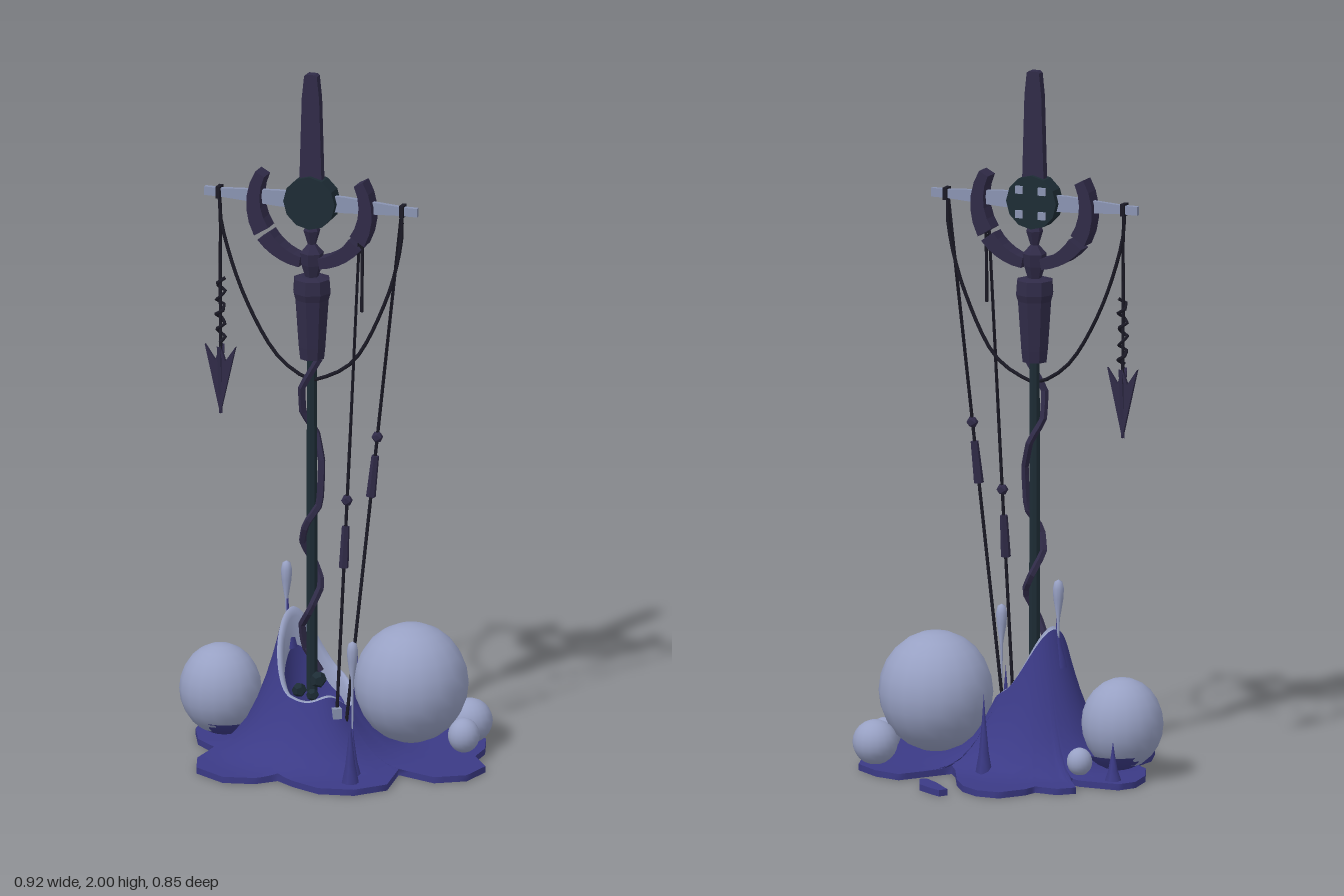
import * as THREE from 'three';

const mat = (name, color, extra = {}) => {
  const m = new THREE.MeshStandardMaterial({ color, ...extra });
  m.name = name;
  return m;
};
const V = (x, y, z) => new THREE.Vector3(x, y, z);

export function createModel() {
  const flat = { flatShading: true };
  const slime = mat('indigo slime', 0x3b3a86, { side: THREE.DoubleSide });
  const pale = mat('pale bubble', 0x98a1c4);
  const foam = mat('pale foam', 0x98a1c4, { side: THREE.DoubleSide });
  const purple = mat('dark purple metal', 0x302b48, flat);
  const teal = mat('dark teal wood', 0x1d2c35, flat);
  const cord = mat('black cord', 0x1b1a26);
  const steel = mat('grey blue bar', 0x8a94b2, flat);

  const root = new THREE.Group();
  const staff = new THREE.Group();
  staff.name = 'staff';
  staff.position.set(-0.06, 0, 0.06);
  root.add(staff);

  const add = (parent, name, geo, material, x = 0, y = 0, z = 0) => {
    const m = new THREE.Mesh(geo, material);
    m.name = name;
    m.position.set(x, y, z);
    parent.add(m);
    return m;
  };
  const tube = (parent, name, pts, r, material, seg = 24, sides = 6, tension = 0.5) =>
    add(parent, name, new THREE.TubeGeometry(
      new THREE.CatmullRomCurve3(pts, false, 'catmullrom', tension), seg, r, sides), material);
  const plate = (pts, depth) => {
    const g = new THREE.ExtrudeGeometry(new THREE.Shape(pts.map(p => new THREE.Vector2(...p))),
      { depth, bevelEnabled: false });
    return g.translate(0, 0, -depth / 2);
  };
  const lathe = (pts, n) => new THREE.LatheGeometry(pts.map(p => new THREE.Vector2(...p)), n);

  // Shaft, wrapped vine and socket
  add(staff, 'shaft', new THREE.CylinderGeometry(0.015, 0.017, 1.03, 8), teal, 0, 0.7, 0);
  const vine = [[1.17, 0.3], [1.08, 2.6], [1, 3.3], [0.94, 4.8], [0.86, 6.1], [0.74, 6.6], [0.68, 8.2],
    [0.62, 9.4], [0.55, 11], [0.5, 12.4], [0.43, 14], [0.38, 15.5], [0.31, 16.2], [0.24, 18]]
    .map(([y, a]) => V(0.028 * Math.cos(a), y, 0.028 * Math.sin(a)));
  tube(staff, 'vine', vine, 0.011, purple, 40, 5, 0.1);
  add(staff, 'socket', lathe([[0, 1.165], [0.036, 1.165], [0.04, 1.2], [0.05, 1.34], [0.056, 1.36],
    [0.053, 1.4], [0.03, 1.405], [0, 1.405]], 8), purple);
  add(staff, 'neck', lathe([[0, 1.4], [0.018, 1.4], [0.03, 1.44], [0.034, 1.475], [0.012, 1.5],
    [0.024, 1.54], [0.012, 1.57], [0, 1.57]], 6), purple);

  // Crescent made of two mirrored pairs of arc segments
  const arc = (a0, a1, w0, w1) => {
    const pts = [], n = 5, R = 0.168;
    for (let i = 0; i <= n; i++) {
      const a = a0 + (a1 - a0) * i / n, r = R + (w0 + (w1 - w0) * i / n) / 2;
      pts.push([r * Math.cos(a), r * Math.sin(a)]);
    }
    for (let i = n; i >= 0; i--) {
      const a = a0 + (a1 - a0) * i / n, r = R - (w0 + (w1 - w0) * i / n) / 2;
      pts.push([r * Math.cos(a), r * Math.sin(a)]);
    }
    return plate(pts, 0.05);
  };
  for (const left of [true, false]) {
    const place = (a, b, w0, w1) => left ? arc(a, b, w0, w1) : arc(Math.PI - b, Math.PI - a, w1, w0);
    add(staff, 'crescentHorn', place(-0.55, 0.5, 0.05, 0.03), purple, 0, 1.615, 0);
    add(staff, 'crescentBase', place(-1.4, -0.63, 0.03, 0.046), purple, 0, 1.615, 0);
  }

  // Disc, its studs, top blade and crossbar
  add(staff, 'disc', new THREE.CylinderGeometry(0.077, 0.077, 0.05, 12).rotateX(Math.PI / 2), teal, 0, 1.625, 0);
  for (const x of [-1, 1]) for (const y of [-1, 1])
    add(staff, 'discStud', new THREE.BoxGeometry(0.022, 0.022, 0.008), steel, x * 0.035, 1.625 + y * 0.035, -0.028);
  add(staff, 'blade', plate([[-0.033, 1.69], [0.033, 1.69], [0.026, 1.93], [0.019, 1.995], [0.012, 2],
    [-0.012, 2], [-0.019, 1.995], [-0.026, 1.93]], 0.025), purple);
  add(staff, 'crossbar', plate([[-0.32, 1.612], [-0.27, 1.612], [-0.1, 1.602], [0.1, 1.602], [0.27, 1.612],
    [0.317, 1.612], [0.317, 1.637], [0.27, 1.637], [0.1, 1.648], [-0.1, 1.648], [-0.27, 1.637], [-0.32, 1.637]],
  0.014), steel);

  // Slack cord and hanging dart
  tube(root, 'slackCord', [[-0.335, 1.63], [-0.325, 1.52], [-0.265, 1.34], [-0.175, 1.18], [-0.085, 1.11],
    [-0.03, 1.11], [0.075, 1.18], [0.165, 1.36], [0.208, 1.52], [0.212, 1.63]].map(p => V(p[0], p[1], 0.066)),
  0.0055, cord, 30, 5);
  for (const x of [-0.337, 0.212])
    add(root, 'cordLoop', new THREE.BoxGeometry(0.012, 0.035, 0.03), cord, x, 1.625, 0.06);
  tube(root, 'dartCord', [V(-0.337, 1.63, 0.055), V(-0.337, 1.15, 0.05)], 0.005, cord, 2, 5);
  const twist = [];
  for (let i = 0; i <= 14; i++)
    twist.push(V(-0.337 + 0.014 * Math.cos(i * 1.9), 1.37 - i * 0.0135, 0.05 + 0.014 * Math.sin(i * 1.9)));
  tube(root, 'dartBinding', twist, 0.005, cord, 42, 4, 0.1);
  const dart = [[0, 0.97], [0.046, 1.17], [0.015, 1.125], [0, 1.17], [-0.015, 1.125], [-0.046, 1.17]];
  add(root, 'dartBlade', plate(dart, 0.01), purple, -0.337, 0, 0.05);
  add(root, 'dartFin', plate(dart.map(([x, y]) => [x * 0.4, y]), 0.01).rotateY(Math.PI / 2), purple, -0.337, 0, 0.05);

  // Taut cords with beads
  const taut = (a, b, beadY, capsuleY) => {
    tube(root, 'tautCord', [a, b], 0.005, cord, 2, 5);
    const at = y => a.clone().lerp(b, (a.y - y) / (a.y - b.y));
    const q = new THREE.Quaternion().setFromUnitVectors(V(0, 1, 0), a.clone().sub(b).normalize());
    const p = at(beadY), c = at(capsuleY);
    add(root, 'bead', new THREE.IcosahedronGeometry(0.017, 0), purple, p.x, p.y, p.z);
    add(root, 'longBead', new THREE.CylinderGeometry(0.011, 0.014, 0.12, 6), purple, c.x, c.y, c.z).quaternion.copy(q);
  };
  taut(V(0.212, 1.63, 0.066), V(0.07, 0.11, 0.14), 0.965, 0.85);
  taut(V(0.09, 1.64, 0.066), V(0.048, 0.14, 0.155), 0.775, 0.64);
  tube(root, 'shortCord', [V(0.095, 1.62, 0.07), V(0.095, 1.32, 0.075)], 0.005, cord, 2, 5);
  add(root, 'cordAnchor', new THREE.BoxGeometry(0.026, 0.03, 0.026), steel, 0.05, 0.16, 0.16).rotation.y = 0.6;

  // Slime puddle rising to a splash crown around the shaft
  const outline = [[-0.15, -0.38], [-0.08, -0.38], [-0.02, -0.34], [0.03, -0.27], [0.08, -0.17], [0.11, -0.13],
    [0.16, -0.2], [0.21, -0.27], [0.29, -0.25], [0.37, -0.19], [0.4, -0.1], [0.4, -0.02], [0.46, 0.06],
    [0.44, 0.16], [0.36, 0.21], [0.24, 0.17], [0.26, 0.32], [0.19, 0.4], [0.09, 0.42], [0, 0.38], [-0.06, 0.34],
    [-0.11, 0.39], [-0.2, 0.41], [-0.3, 0.35], [-0.33, 0.26], [-0.32, 0.15], [-0.39, 0.09], [-0.43, 0],
    [-0.44, -0.09], [-0.41, -0.14], [-0.29, -0.14], [-0.25, -0.12], [-0.32, -0.23], [-0.28, -0.27],
    [-0.21, -0.265], [-0.2, -0.31]];
  const C = V(-0.045, 0, 0.075), edge = [];
  outline.forEach(([x, z], i) => {
    const [u, w] = outline[(i + 1) % outline.length];
    for (let k = 0; k < 3; k++) edge.push([x + (u - x) * k / 3 - C.x, z + (w - z) * k / 3 - C.z]);
  });
  const crown = (u, w) => 0.185 - 0.03 * u + 0.17 * Math.max(0, -0.92 * u - 0.39 * w) ** 2
    + 0.06 * Math.max(0, -w) + 0.04 * Math.max(0, 0.7 * u + 0.7 * w) ** 8;
  const loft = rings => {
    const pos = [], idx = [], n = rings[0].length;
    rings.forEach((r, j) => r.forEach((p, i) => {
      pos.push(p.x, p.y, p.z);
      if (!j) return;
      const a = (j - 1) * n + i, b = (j - 1) * n + (i + 1) % n;
      idx.push(a, a + n, b, b, a + n, b + n);
    }));
    const g = new THREE.BufferGeometry();
    g.setAttribute('position', new THREE.Float32BufferAttribute(pos, 3));
    g.setIndex(idx);
    g.computeVertexNormals();
    return g;
  };
  const ring = f => edge.map(([x, z]) => {
    const R = Math.hypot(x, z), u = x / R, w = z / R, [r, y] = f(R, u, w);
    return V(C.x + u * r, y, C.z + w * r);
  });
  const rimR = 0.107;
  const mound = t => ring((R, u, w) => {
    const r = rimR + (R - rimR) * t ** 1.5, s = Math.min(1, (r - rimR) / 0.2);
    return [r, 0.018 + (crown(u, w) - 0.018) * (1 - s) ** 2.3];
  });
  const wall = (r, k) => ring((R, u, w) => [r, crown(u, w) * k]);
  add(root, 'puddleEdge', loft([ring(R => [R, 0]), mound(1)]), slime);
  add(root, 'puddle', loft([1, 0.85, 0.7, 0.55, 0.42, 0.3, 0.2, 0.1, 0].map(mound)), slime);
  add(root, 'crownFoam', loft([wall(rimR, 1), wall(rimR - 0.008, 1.02), wall(rimR - 0.018, 0.96),
    wall(rimR - 0.021, 0.75)]), foam);
  add(root, 'craterFloor', loft([wall(rimR - 0.021, 0.75), ring(() => [0.07, 0.1]), ring(() => [0.001, 0.09])]), slime);
  add(root, 'puddleIsland', plate([[0, 0.4], [0.015, 0.425], [0.05, 0.405], [0.1, 0.37], [0.13, 0.305],
    [0.115, 0.29], [0.065, 0.33], [0.01, 0.39]], 0.018).rotateX(-Math.PI / 2), slime, 0, 0.009, 0);

  // Bubbles: x, y, z, radius, height stretch
  [[0.205, 0.213, -0.028, 0.162, 1.06], [-0.345, 0.156, 0.03, 0.116, 1.12], [0.335, 0.078, -0.155, 0.064, 1],
    [0.362, 0.073, -0.03, 0.045, 1.1], [-0.265, 0.06, -0.085, 0.036, 1.1]].forEach(([x, y, z, r, s], i) => {
    add(root, 'bubble', new THREE.SphereGeometry(r, 18, 12), pale, x, y, z).scale.y = s;
    if (i === 1) add(root, 'bubbleSkirt', new THREE.SphereGeometry(r * 1.03, 18, 5, 0, Math.PI * 2, 2.25, 0.89),
      slime, x + 0.01, y, z - 0.005).scale.y = s;
  });

  // Slime spikes and droplets
  [[0.138, 0.27, 0.16], [0.157, 0.34, 0.21], [-0.01, -0.175, 0.24], [-0.375, -0.1, 0.12]].forEach(([x, z, h]) =>
    add(root, 'slimeSpike', lathe([[0.026, 0], [0.014, h * 0.3], [0.005, h * 0.7], [0, h]], 6), slime, x, 0.01, z));
  add(root, 'crownHorn', lathe([[0.03, 0], [0.014, 0.06], [0.004, 0.1], [0.003, 0.14]], 8), slime, -0.143, 0.3, 0.032);
  const drop = [[0.002, 0], [0.004, 0.14], [0.014, 0.2], [0.016, 0.23], [0.011, 0.25], [0, 0.256]];
  add(root, 'droplet', lathe(drop, 10), pale, 0.138, 0.155, 0.27);
  add(root, 'droplet', lathe(drop, 10), pale, -0.147, 0.295, 0.03);

  // Broken chips at the foot of the shaft
  [[0.03, 0.23, 0.03], [-0.02, 0.2, 0.05], [0.02, 0.19, 0.05]].forEach(([x, y, z], i) =>
    add(staff, 'footChip', new THREE.DodecahedronGeometry(0.024 - i * 0.003, 0), teal, x, y, z));

  return root;
}
